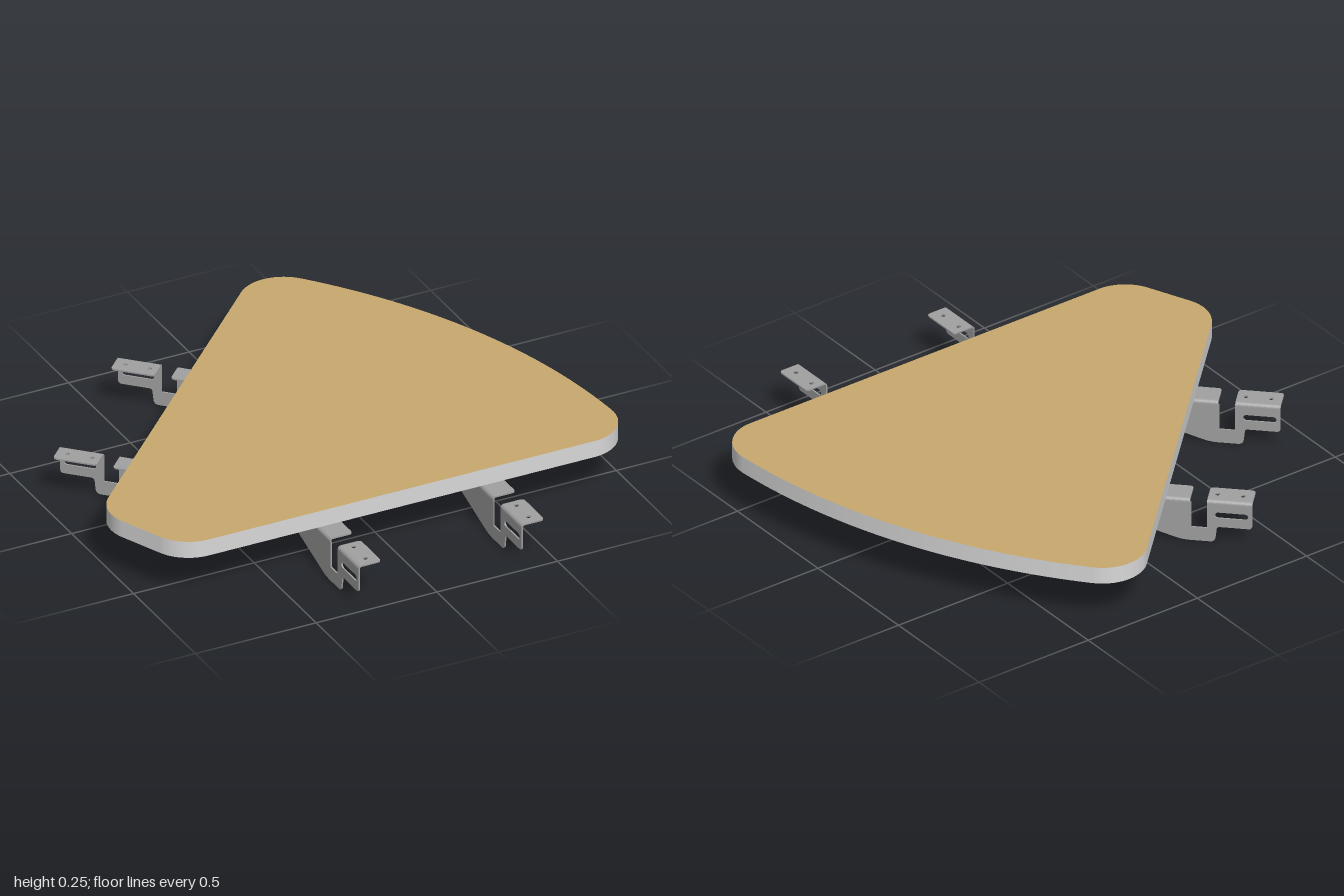
import * as THREE from 'three';

const TOP_Y = 0.245, UNDER_Y = 0.177;   // faces of the table top
const T = 0.006, BEND = 0.014;          // sheet thickness and outer bend radius
const FLANGE_Y = 0.176;                 // upper face of the bracket flanges
const FLANGE_W = 0.095;

const rad = THREE.MathUtils.degToRad;

// Extrudes a shape without bevel
function extrude(shape, depth, curveSegments = 6) {
  return new THREE.ExtrudeGeometry(shape, { depth, bevelEnabled: false, curveSegments });
}

function namedMesh(name, geometry, material) {
  const mesh = new THREE.Mesh(geometry, material);
  mesh.name = name;
  return mesh;
}

function roundHole(x, y, r) {
  return new THREE.Path().absarc(x, y, r, 0, Math.PI * 2, true);
}

// Closed polygon with rounded corners; each point is [x, y, radius]
function roundedShape(points) {
  const shape = new THREE.Shape();
  const n = points.length;
  points.forEach(([x, y, r], i) => {
    const p = new THREE.Vector2(x, y);
    const toward = (q) => new THREE.Vector2(q[0], q[1]).sub(p).setLength(r).add(p);
    const a = r ? toward(points[(i + n - 1) % n]) : p;
    if (i === 0) shape.moveTo(a.x, a.y);
    else shape.lineTo(a.x, a.y);
    if (r) {
      const b = toward(points[(i + 1) % n]);
      shape.quadraticCurveTo(x, y, b.x, b.y);
    }
  });
  shape.closePath();
  return shape;
}

// Table top: four rounded corners joined by straight edges and one long arc
function makeTop(wood, edge) {
  const outline = new THREE.Shape();
  const r = 0.165;
  const arcs = [
    [0.83, -0.485, r, -90, 4.1],
    [-1.393, -0.646, 2.394, 4.1, 40.8],
    [0.294, 0.81, r, 40.8, 135],
    [-0.835, -0.32, r, 135, 203],
    [-0.765, -0.485, r, 203, 270],
  ];
  for (const [x, y, radius, a, b] of arcs) outline.absarc(x, y, radius, rad(a), rad(b), false);
  outline.closePath();
  const geometry = extrude(outline, TOP_Y - UNDER_Y, 24);
  geometry.rotateX(-Math.PI / 2).translate(0, UNDER_Y, 0);
  return namedMesh('tableTop', geometry, [wood, edge]);
}

// Flat flange lying beside the plate, between two distances from the table edge
function makeFlange(name, from, to, holes, steel) {
  const shape = roundedShape([
    [BEND, from, 0], [FLANGE_W, from, 0.015], [FLANGE_W, to, 0.015], [BEND, to, 0],
  ]);
  for (const z of holes) shape.holes.push(roundHole(0.05, z, 0.009));
  const geometry = extrude(shape, T).rotateX(Math.PI / 2).translate(0, FLANGE_Y, 0);
  const group = new THREE.Group();
  group.name = name;

  // Quarter-round bend joining flange and plate
  const bend = new THREE.Shape();
  bend.absarc(BEND, FLANGE_Y - BEND, BEND, Math.PI / 2, Math.PI, false);
  bend.absarc(BEND, FLANGE_Y - BEND, BEND - T, Math.PI, Math.PI / 2, true);
  bend.closePath();
  group.add(
    namedMesh(name + 'Sheet', geometry, steel),
    namedMesh(name + 'Bend', extrude(bend, to - from).translate(0, 0, from), steel),
  );
  return group;
}

// Bracket: z points outward from the table edge, the flanges extend to +x
function makeBracket(steel) {
  const bracket = new THREE.Group();
  const top = FLANGE_Y - BEND;
  const plate = roundedShape([
    [-0.33, top, 0], [-0.33, 0.125, 0.01], [0.06, 0, 0.03], [0.183, 0, 0.02],
    [0.19, 0.065, 0.012], [0.322, 0.065, 0.015], [0.322, top, 0],
    [0.153, top, 0], [0.153, 0.057, 0], [0.094, 0.057, 0], [0.094, top, 0],
  ]);
  // Adjustment slot
  const slot = new THREE.Path();
  slot.absarc(0.295, 0.115, 0.012, Math.PI / 2, -Math.PI / 2, true);
  slot.absarc(0.195, 0.115, 0.012, -Math.PI / 2, -Math.PI * 1.5, true);
  slot.closePath();
  plate.holes.push(slot);
  const geometry = extrude(plate, T).rotateY(-Math.PI / 2).translate(T, 0, 0);
  bracket.add(
    namedMesh('bracketPlate', geometry, steel),
    makeFlange('innerFlange', -0.33, 0.09, [], steel),
    makeFlange('outerFlange', 0.153, 0.322, [0.185, 0.28], steel),
  );
  return bracket;
}

export function createModel() {
  const wood = new THREE.MeshStandardMaterial({ color: 0xc8a96e });
  const edge = new THREE.MeshStandardMaterial({ color: 0xd8d8d8 });
  const steel = new THREE.MeshStandardMaterial({ color: 0xa0a0a0 });
  wood.name = 'wood';
  edge.name = 'edgeBand';
  steel.name = 'steel';

  const model = new THREE.Group();
  model.name = 'cornerTable';
  model.add(makeTop(wood, edge));

  // Two brackets on the straight front edge and two on the slanted edge
  const places = [
    ['frontLeftBracket', 0.365, 0.65, 0],
    ['frontRightBracket', -0.31, 0.65, 0],
    ['backLeftBracket', -0.159, -0.589, -135],
    ['backRightBracket', -0.651, -0.097, -135],
  ];
  for (const [name, x, z, turn] of places) {
    const bracket = makeBracket(steel);
    bracket.name = name;
    bracket.position.set(x, 0, z);
    bracket.rotation.y = rad(turn);
    model.add(bracket);
  }
  return model;
}
